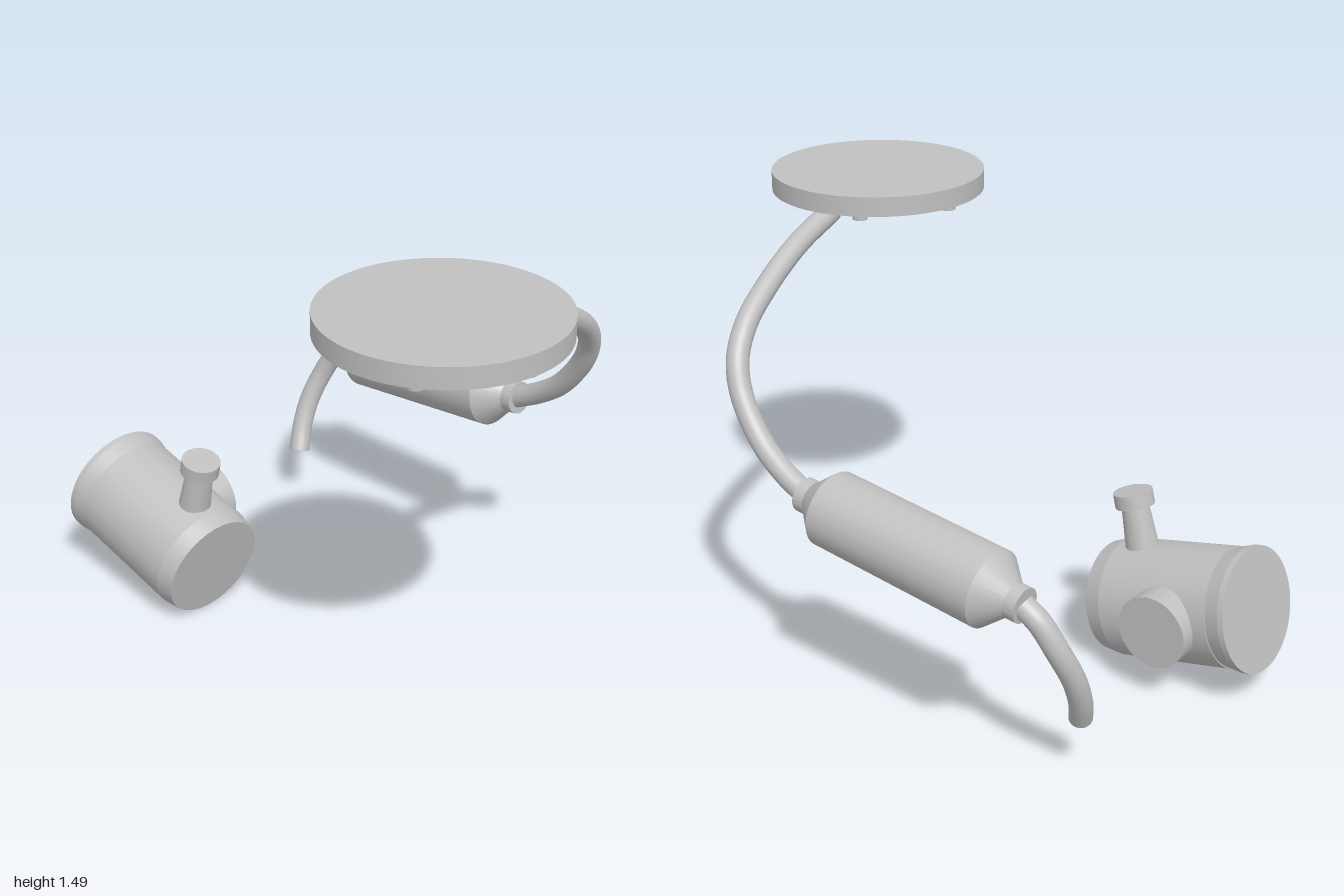
import * as THREE from 'three';
import { toCreasedNormals } from 'three/addons/utils/BufferGeometryUtils.js';

const grey = new THREE.MeshStandardMaterial({ color: 0xc0c0c0 });
grey.name = 'plain grey';

// Solid of revolution about y; profile is [radius, height] from bottom to top
function turned(profile, segments = 64) {
  const pts = profile.map(([r, h]) => new THREE.Vector2(r, h));
  pts.unshift(new THREE.Vector2(0, pts[0].y));
  pts.push(new THREE.Vector2(0, pts[pts.length - 1].y));
  return toCreasedNormals(new THREE.LatheGeometry(pts, segments), 0.2);
}

function add(parent, name, geometry, x = 0, y = 0, z = 0) {
  const mesh = new THREE.Mesh(geometry, grey);
  mesh.name = name;
  mesh.position.set(x, y, z);
  parent.add(mesh);
  return mesh;
}

// Round pipe through points, closed with a disc at each end
function pipe(parent, name, points, radius) {
  const group = new THREE.Group();
  group.name = name;
  const curve = new THREE.CatmullRomCurve3(points.map(p => new THREE.Vector3(...p)), false, 'centripetal');
  add(group, name + 'Wall', new THREE.TubeGeometry(curve, 80, radius, 32));
  for (const [t, sign] of [[0, -1], [1, 1]]) {
    const end = curve.getPointAt(t);
    const cap = add(group, name + 'End', new THREE.CircleGeometry(radius, 32), end.x, end.y, end.z);
    const dir = curve.getTangentAt(t).multiplyScalar(sign);
    cap.quaternion.setFromUnitVectors(new THREE.Vector3(0, 0, 1), dir);
  }
  parent.add(group);
}

export function createModel() {
  const model = new THREE.Group();
  model.name = 'pipeAssembly';

  // Flat round plate with six studs underneath
  const plate = new THREE.Group();
  plate.name = 'mountingPlate';
  plate.position.set(0.635, 0, 0.33);
  add(plate, 'plateDisc', turned([[0.365, 1.427], [0.365, 1.493]], 96));
  for (let i = 0; i < 6; i++) {
    const a = i * Math.PI / 3;
    add(plate, 'stud', turned([[0.025, 1.403], [0.025, 1.43]], 32), 0.31 * Math.cos(a), 0, 0.31 * Math.sin(a));
  }
  model.add(plate);

  // Barrel with conical ends and a collar at each end
  const barrel = new THREE.Group();
  barrel.name = 'barrel';
  barrel.position.set(-0.57, 0.6525, -0.572);
  barrel.rotation.z = THREE.MathUtils.degToRad(6);
  add(barrel, 'barrelBody', turned([[0.05, -0.08], [0.123, 0], [0.123, 0.62], [0.05, 0.705]]).rotateZ(-Math.PI / 2));
  for (const [name, h] of [['leftwardCollar', -0.12], ['rightwardCollar', 0.7]]) {
    add(barrel, name, turned([[0.056, h], [0.056, h + 0.04]]).rotateZ(-Math.PI / 2));
  }
  model.add(barrel);

  // Bent pipes on both ends of the barrel
  pipe(model, 'upperPipe', [
    [0.15, 0.728, -0.573], [0.25, 0.78, -0.573], [0.35, 0.853, -0.565], [0.45, 0.98, -0.545],
    [0.495, 1.075, -0.512], [0.53, 1.162, -0.437], [0.565, 1.249, -0.3], [0.6, 1.336, -0.115], [0.632, 1.395, 0.085],
  ], 0.037);
  pipe(model, 'lowerPipe', [
    [-0.68, 0.64, -0.572], [-0.735, 0.6, -0.565], [-0.785, 0.51, -0.54],
    [-0.81, 0.4, -0.49], [-0.805, 0.3, -0.445], [-0.783, 0.22, -0.409],
  ], 0.037);

  // Tilted canister: local x runs along its axis
  const canister = new THREE.Group();
  canister.name = 'canister';
  canister.position.set(-0.949, 0.3155, 0.33);
  canister.rotation.z = THREE.MathUtils.degToRad(-14);
  add(canister, 'canisterFlange', turned([[0.207, 0], [0.207, 0.02], [0.194, 0.08]]).rotateZ(-Math.PI / 2));
  add(canister, 'canisterBody', turned([[0.199, 0.073], [0.199, 0.485], [0.186, 0.545]]).rotateZ(-Math.PI / 2));
  add(canister, 'fillerNeck', turned([[0.058, 0.15], [0.045, 0.345]], 48), 0.41);
  add(canister, 'fillerCap', turned([[0.066, 0.335], [0.066, 0.384]], 48), 0.41);
  add(canister, 'sideBoss', turned([[0.123, -0.25], [0.123, -0.15]]).rotateX(Math.PI / 2), 0.246);
  model.add(canister);

  return model;
}
